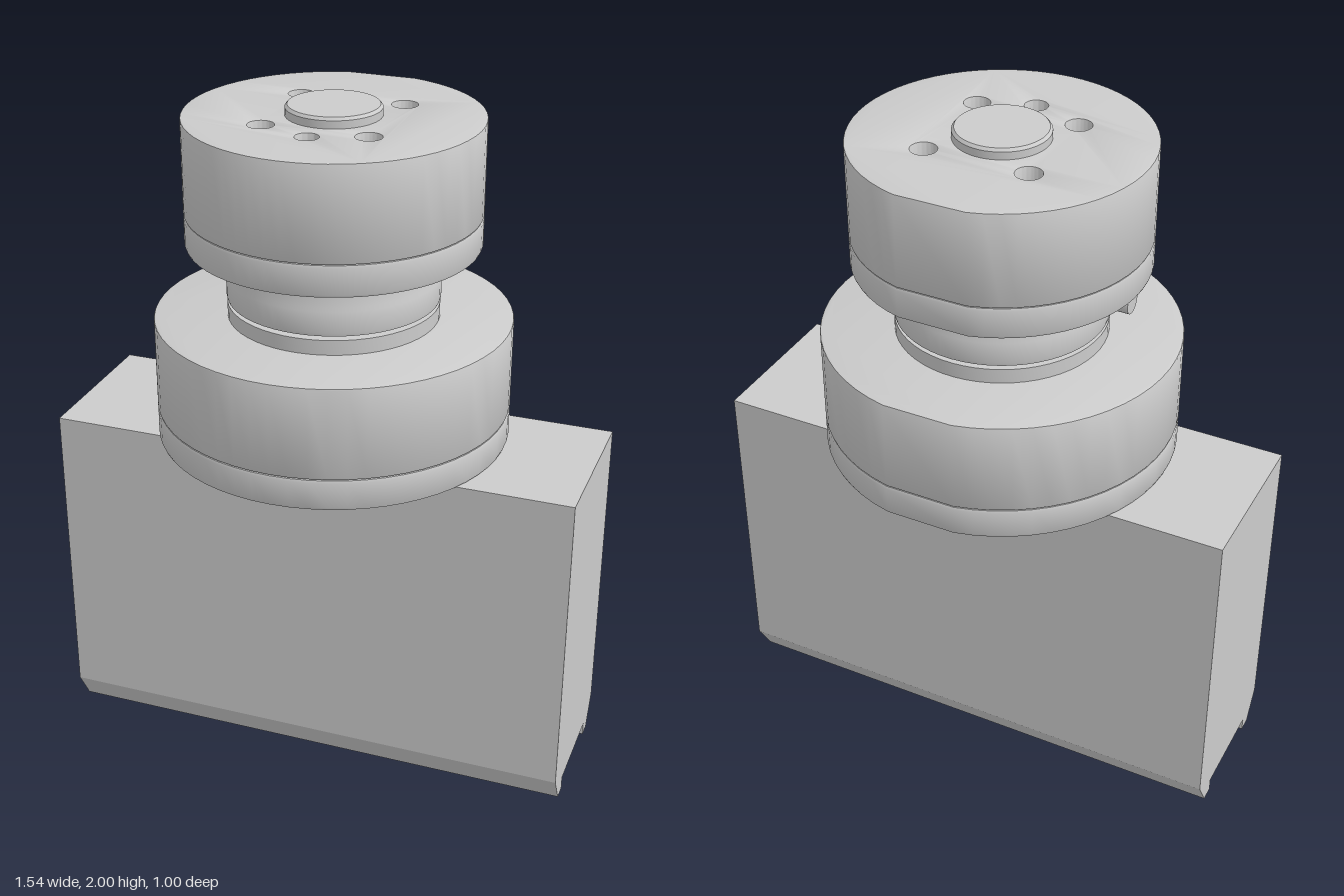
import * as THREE from 'three';
import { toCreasedNormals } from 'three/addons/utils/BufferGeometryUtils.js';

const material = new THREE.MeshStandardMaterial({ color: 0xcccccc });

function add(group, name, geometry) {
  const mesh = new THREE.Mesh(geometry, material);
  mesh.name = name;
  group.add(mesh);
  return mesh;
}

// Upright disc between two heights, with a flat at the back and drilled holes [x, z, radius]
function drilledDisc(radius, y0, y1, holes, bevel = 0.005) {
  const r = radius - bevel;
  const a = Math.asin(0.1 / r);
  const shape = new THREE.Shape();
  shape.absarc(0, 0, r, Math.PI / 2 + a, Math.PI * 2.5 - a, false);
  shape.closePath();
  for (const [x, z, hr] of holes) {
    const hole = new THREE.Path();
    hole.absarc(x, -z, hr + bevel, 0, Math.PI * 2, true);
    shape.holes.push(hole);
  }
  const geometry = new THREE.ExtrudeGeometry(shape, {
    depth: y1 - y0 - 2 * bevel, curveSegments: 28,
    bevelEnabled: true, bevelSize: bevel, bevelThickness: bevel, bevelSegments: 2,
  });
  geometry.rotateX(-Math.PI / 2).translate(0, y0 + bevel, 0);
  return toCreasedNormals(geometry, 0.5);
}

// Turned solid from [radius, height] points
function turned(points) {
  const profile = points.map(([r, y]) => new THREE.Vector2(r, y));
  return toCreasedNormals(new THREE.LatheGeometry(profile, 56), 0.5);
}

// Four holes on the diagonals
const diagonalHoles = (d, r) =>
  [[-1, -1], [1, -1], [-1, 1], [1, 1]].map(([x, z]) => [x * d, z * d, r]);

export function createModel() {
  const model = new THREE.Group();
  model.name = 'model';
  const parts = new THREE.Group();
  parts.name = 'parts';
  parts.position.z = -0.005;
  model.add(parts);

  // Slab body: cross-section in z and y, with chamfered lips around a bottom channel
  const half = [[0.14, 0.07], [0.14, 0.03], [0.183, 0.03], [0.235, 0.12], [0.235, 1.04]];
  const section = [...half, ...half.map(([z, y]) => [-z, y]).reverse()];
  const bodyShape = new THREE.Shape(section.map(([z, y]) => new THREE.Vector2(z, y)));
  const body = new THREE.ExtrudeGeometry(bodyShape, { depth: 1.54, bevelEnabled: false });
  body.translate(0, 0, -0.77).rotateY(Math.PI / 2);
  add(parts, 'body', body);

  // Keel running along the channel
  const keel = add(parts, 'keel', new THREE.BoxGeometry(1.38, 0.08, 0.08));
  keel.position.set(-0.06, 0.04, 0);

  // Lower collar: base ring drilled from below, with a thicker drum above
  add(parts, 'lowerCollarRing', drilledDisc(0.505, 1.04, 1.133, diagonalHoles(0.3, 0.032), 0.01));
  add(parts, 'lowerCollarDrum', drilledDisc(0.505, 1.133, 1.4, []));

  // Neck with a narrow groove
  add(parts, 'neck', turned([
    [0, 1.39], [0.298, 1.39], [0.298, 1.443], [0.235, 1.443], [0.235, 1.455],
    [0.298, 1.455], [0.3, 1.465], [0.3, 1.525], [0.295, 1.535], [0.295, 1.62], [0, 1.62],
  ]));

  // Side pin
  const pin = add(parts, 'sidePin', new THREE.CylinderGeometry(0.033, 0.033, 0.16, 24));
  pin.rotation.z = Math.PI / 2;
  pin.position.set(-0.305, 1.573, 0);

  // Upper knob: ring drilled from below, drum drilled from above
  add(parts, 'upperKnobRing', drilledDisc(0.411, 1.61, 1.703, diagonalHoles(0.255, 0.026), 0.01));
  add(parts, 'upperKnobDrum', drilledDisc(0.411, 1.703, 1.97,
    [...diagonalHoles(0.15, 0.036), [0, 0.205, 0.032]], 0.003));

  // Raised centre cap
  add(parts, 'centreCap', turned([
    [0, 1.96], [0.132, 1.96], [0.132, 1.992], [0.125, 2], [0, 2],
  ]));

  return model;
}
